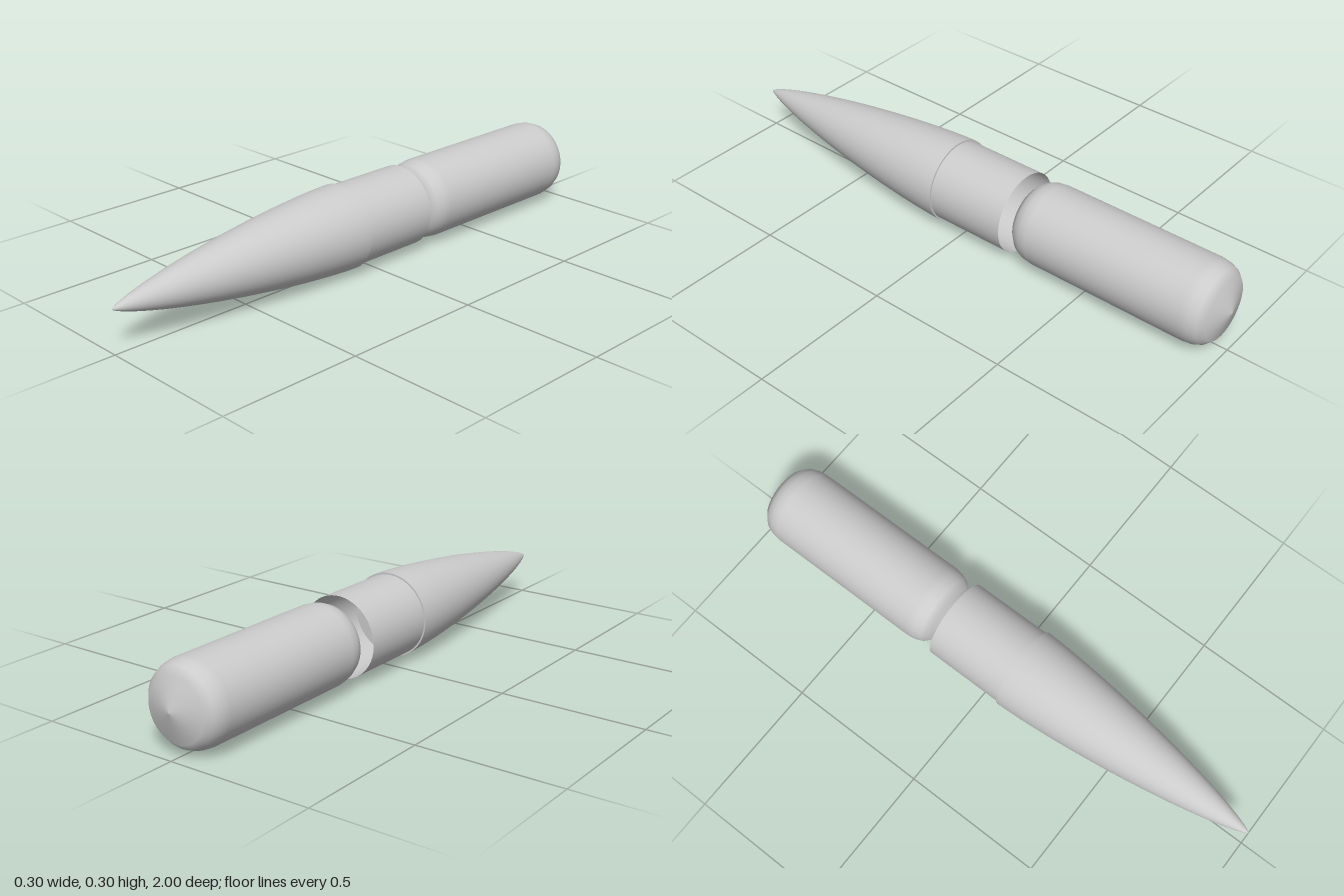
import * as THREE from 'three';

const AXIS_Y = 0.148;
const SIDES = 64;

// Turn a profile of [radius, z] points (ordered back to front) about the z axis.
function turned(name, profile, side = THREE.FrontSide) {
  const points = profile.map(([r, z]) => new THREE.Vector2(r, z));
  const geometry = new THREE.LatheGeometry(points, SIDES).rotateX(Math.PI / 2);
  const mesh = new THREE.Mesh(geometry, new THREE.MeshStandardMaterial({ color: 0xcccccc, side }));
  mesh.name = name;
  mesh.position.y = AXIS_Y;
  return mesh;
}

// Slender nose profile: radius grows smoothly from the tip to the base.
function noseProfile(radius, base, tip, steps) {
  const points = [];
  for (let i = steps; i >= 0; i--) {
    const t = (i / steps) ** 1.5;
    const theta = Math.acos(1 - 2 * t);
    const r = radius * Math.sqrt(Math.max(0, theta - Math.sin(2 * theta) / 2) / Math.PI);
    points.push([r, tip - t * (tip - base)]);
  }
  return points;
}

export function createModel() {
  const model = new THREE.Group();
  model.name = 'rocket';

  // Nose cone, with a flat base slightly wider than the body tube
  const noseBase = 0.08;
  model.add(turned('noseCone', noseProfile(0.148, noseBase, 1, 40)));
  model.add(turned('noseBase', [[0, noseBase], [0.148, noseBase]], THREE.DoubleSide));

  // Short thin-walled tube, open at the back
  model.add(turned('bodyTube', [[0.142, -0.21], [0.142, noseBase]], THREE.DoubleSide));

  // Rounded capsule with shallow pointed ends
  const back = -1, front = -0.212;
  const cap = [[0, 0], [0.106, 0.028], [0.128, 0.05], [0.138, 0.075], [0.142, 0.105]];
  const capsule = [
    ...cap.map(([r, d]) => [r, back + d]),
    ...cap.map(([r, d]) => [r, front - d]).reverse(),
  ];
  model.add(turned('rearCapsule', capsule));

  return model;
}
